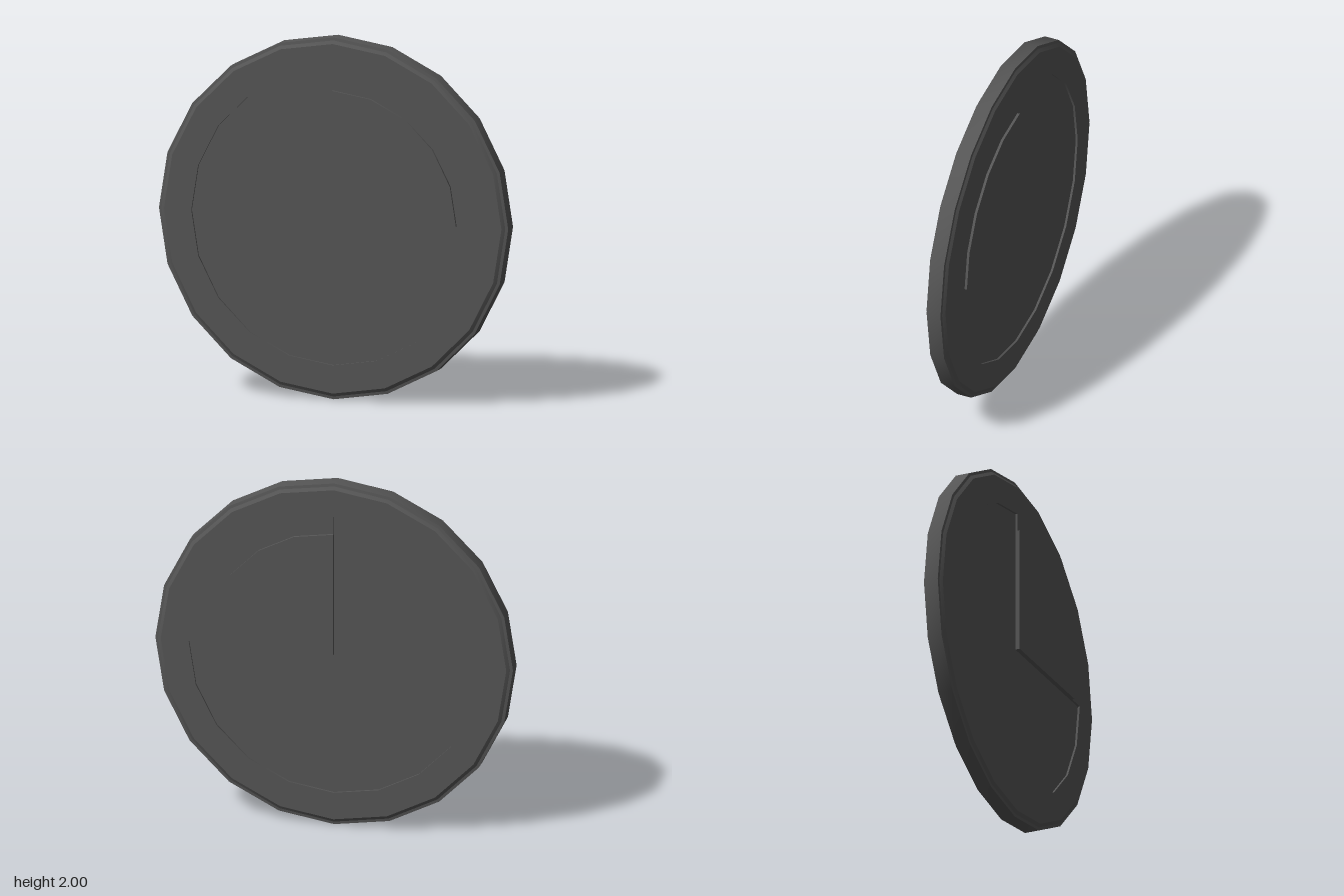
import * as THREE from 'three';
import { toCreasedNormals } from 'three/addons/utils/BufferGeometryUtils.js';

const SIDES = 20;
const CREASE = 0.4;

// Points along a 20-sided arc, from step a to step b (step 0 is +x, step 5 is up)
function arcPoints(radius, a, b) {
  const points = [];
  for (let i = a; i <= b; i++) {
    const t = (i / SIDES) * Math.PI * 2;
    points.push(new THREE.Vector2(Math.cos(t) * radius, Math.sin(t) * radius));
  }
  return points;
}

// Pie slice with its tip in the middle of the disc
function sectorPoints(radius, a, b) {
  return [new THREE.Vector2(0, 0), ...arcPoints(radius, a, b)];
}

// Plate of the given thickness, centred on z = 0
function plate(shape, thickness) {
  const geometry = new THREE.ExtrudeGeometry(shape, { depth: thickness, bevelEnabled: false });
  geometry.translate(0, 0, -thickness / 2);
  return toCreasedNormals(geometry, CREASE);
}

export function createModel() {
  const group = new THREE.Group();
  group.name = 'disc';
  const grey = new THREE.MeshStandardMaterial({ color: 0x555555 });
  grey.name = 'dark grey';

  function add(name, geometry) {
    const mesh = new THREE.Mesh(geometry, grey);
    mesh.name = name;
    mesh.position.y = 1;
    group.add(mesh);
  }

  // Outer rim with stepped edges
  const half = [[1, 0.041], [0.984, 0.044], [0.966, 0.056]];
  const profile = [
    ...half.map(([r, z]) => new THREE.Vector2(r, -z)).reverse(),
    ...half.map(([r, z]) => new THREE.Vector2(r, z)),
  ];
  const rim = new THREE.LatheGeometry(profile, SIDES);
  rim.rotateX(Math.PI / 2);
  add('rim', toCreasedNormals(rim, CREASE));

  // Face plate with a three-quarter opening
  const face = new THREE.Shape(arcPoints(0.966, 0, SIDES - 1));
  face.holes.push(new THREE.Path(sectorPoints(0.81, 5, SIDES).reverse()));
  add('facePlate', plate(face, 0.112));

  // Sunken floor inside the opening, on both sides
  add('recessFloor', plate(new THREE.Shape(sectorPoints(0.81, 5, SIDES)), 0.088));

  // Raised quarter, on both sides
  add('raisedQuarter', plate(new THREE.Shape(sectorPoints(0.71, 0, 5)), 0.14));

  return group;
}
